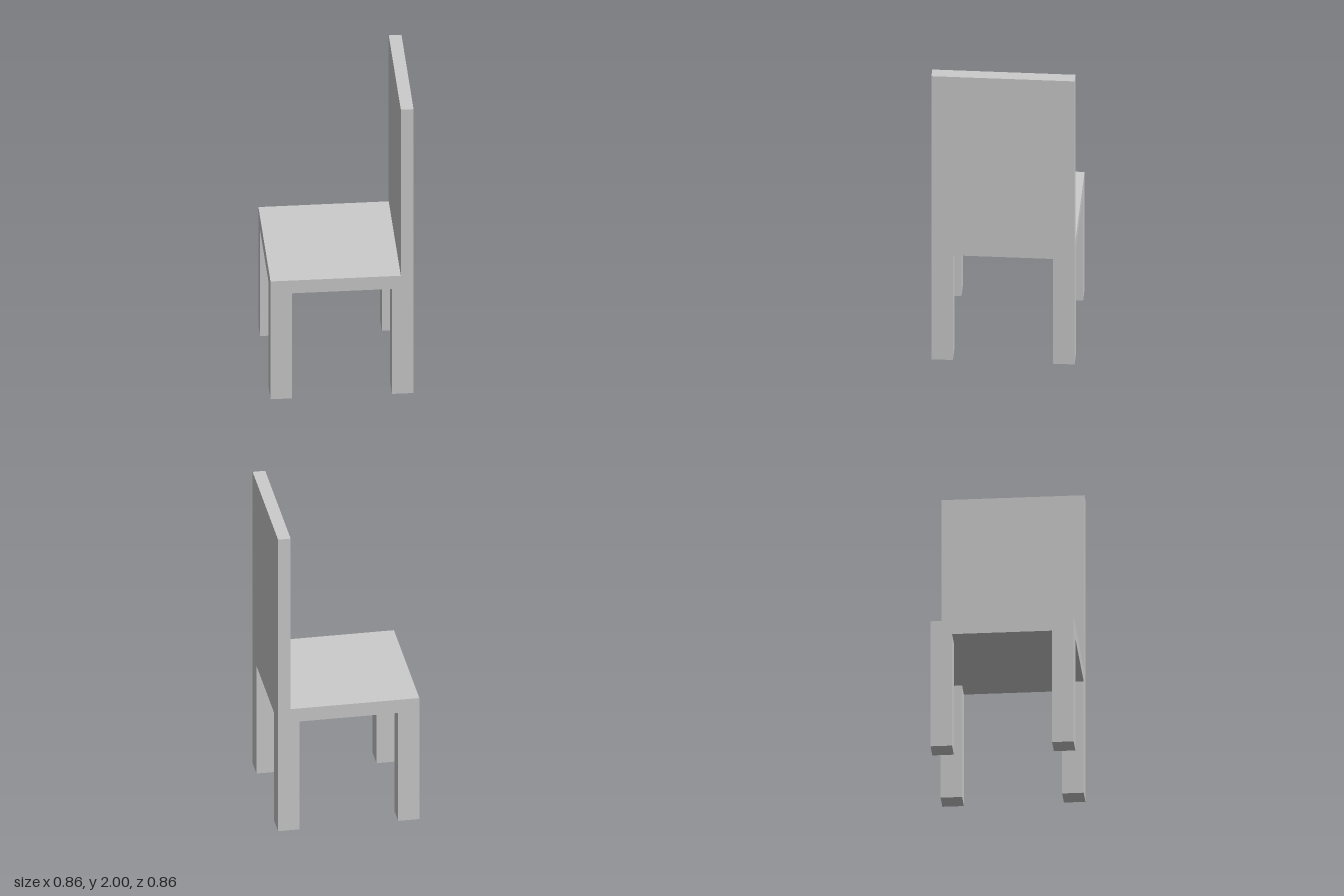
import * as THREE from 'three';

const W = 0.864;        // seat width and depth
const SEAT_Y = 0.74;    // underside of the seat
const SEAT_TOP = 0.83;
const BACK_T = 0.077;   // backrest thickness
const LEG = 0.13;       // leg side

export function createModel() {
  const group = new THREE.Group();
  const material = new THREE.MeshStandardMaterial({ color: 0xcccccc, flatShading: true });

  // Box placed by its centre in x and z and by its bottom in y
  const addBox = (name, w, h, d, x, y, z) => {
    const mesh = new THREE.Mesh(new THREE.BoxGeometry(w, h, d), material);
    mesh.name = name;
    mesh.position.set(x, y + h / 2, z);
    group.add(mesh);
  };

  // Seat slab
  addBox('seat', W, SEAT_TOP - SEAT_Y, W, 0, SEAT_Y, 0);

  // Tall backrest standing on the +x edge of the seat
  addBox('backrest', BACK_T, 2 - SEAT_TOP, W, (W - BACK_T) / 2, SEAT_TOP, 0);

  // Four square legs, flush with the seat corners
  const off = (W - LEG) / 2;
  for (const [sx, xName] of [[-1, 'Right'], [1, 'Left']]) {
    for (const [sz, zName] of [[1, 'front'], [-1, 'back']]) {
      addBox(`${zName}${xName}Leg`, LEG, SEAT_Y, LEG, sx * off, 0, sz * off);
    }
  }

  return group;
}
